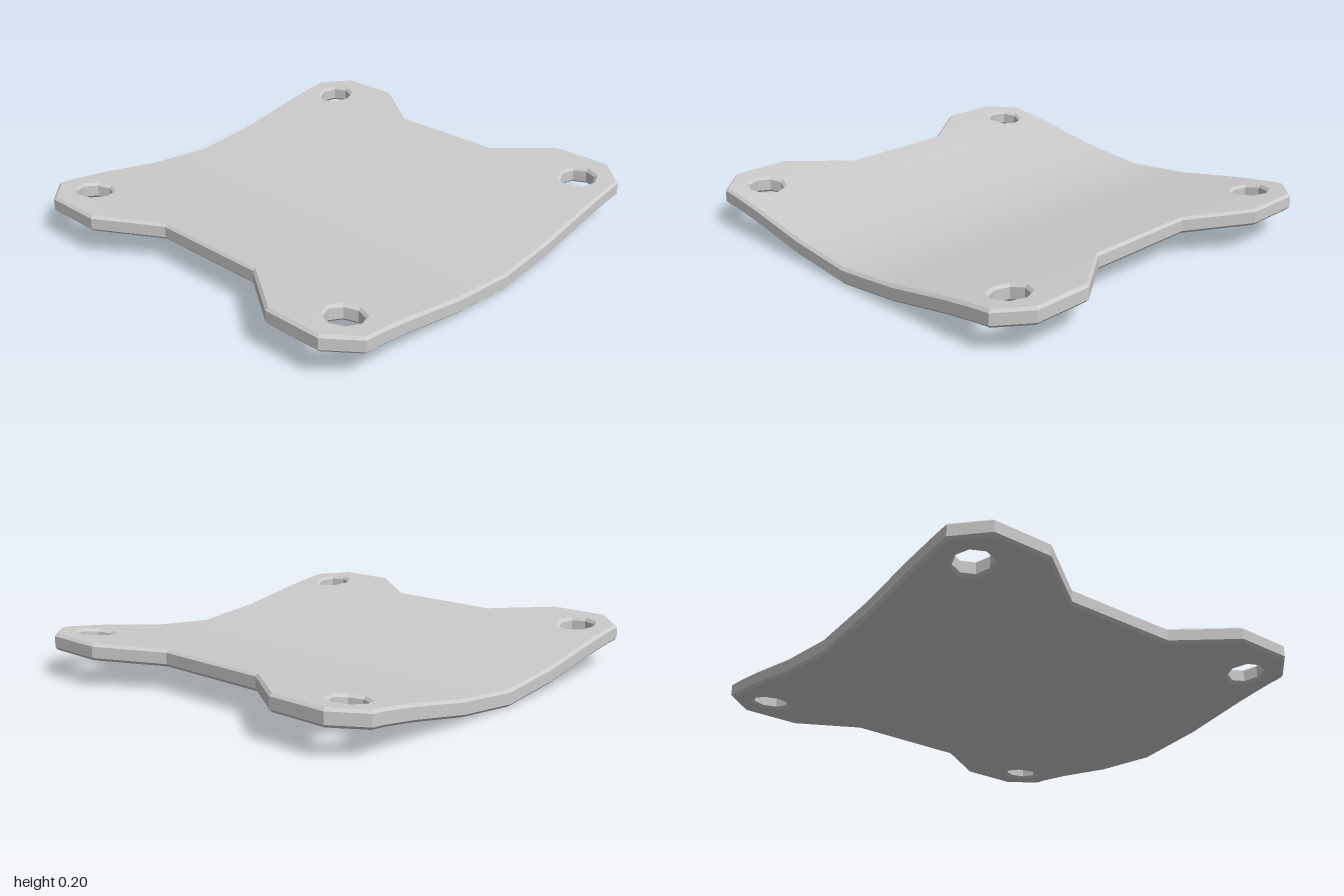
import * as THREE from 'three';
import { toCreasedNormals } from 'three/addons/utils/BufferGeometryUtils.js';

// Height of the bend at each distance from the centre line
const BEND = [[0, 0], [0.32, 0.032], [0.64, 0.089], [0.81, 0.113], [1, 0.13]];
const THICKNESS = 0.075;
const BEVEL = 0.012;

function bendHeight(x) {
  const d = Math.min(Math.abs(x), 1);
  let i = 1;
  while (i < BEND.length - 1 && d > BEND[i][0]) i++;
  const [x0, y0] = BEND[i - 1], [x1, y1] = BEND[i];
  return y0 + (y1 - y0) * (d - x0) / (x1 - x0);
}

// Keep the side of a convex polygon where sign * (x - cut) >= 0
function clip(poly, cut, sign) {
  const out = [];
  poly.forEach((a, i) => {
    const b = poly[(i + 1) % poly.length];
    const da = sign * (a.x - cut), db = sign * (b.x - cut);
    if (da >= 0) out.push(a);
    if (da * db < 0) {
      // interpolate in a fixed direction so shared edges match exactly
      const [p, q] = a.x < b.x ? [a, b] : [b, a];
      out.push(p.clone().lerp(q, (cut - p.x) / (q.x - p.x)));
    }
  });
  return out;
}

// Slice the flat plate along the fold lines, then raise it to the bend
function bendGeometry(flat) {
  const pos = flat.getAttribute('position');
  const folds = BEND.slice(0, -1).flatMap(([x]) => (x ? [-x, x] : [0]));
  const verts = [];
  const edge1 = new THREE.Vector3(), edge2 = new THREE.Vector3();
  for (let i = 0; i < pos.count; i += 3) {
    let polys = [[0, 1, 2].map(k => new THREE.Vector3().fromBufferAttribute(pos, i + k))];
    for (const x of folds) {
      polys = polys.flatMap(p => [clip(p, x, 1), clip(p, x, -1)]).filter(p => p.length > 2);
    }
    for (const p of polys) {
      for (let k = 1; k < p.length - 1; k++) {
        edge1.subVectors(p[k], p[0]);
        edge2.subVectors(p[k + 1], p[0]);
        if (edge1.cross(edge2).length() < 1e-9) continue;
        for (const v of [p[0], p[k], p[k + 1]]) verts.push(v.x, v.y + bendHeight(v.x), v.z);
      }
    }
  }
  const geo = new THREE.BufferGeometry();
  geo.setAttribute('position', new THREE.Float32BufferAttribute(verts, 3));
  geo.computeVertexNormals();
  return toCreasedNormals(geo, 0.4);
}

export function createModel() {
  const group = new THREE.Group();
  group.name = 'bentPlate';

  // Waisted outline with chamfered corners, mirrored from one quarter
  const quarter = [[0.81, 0.275], [1, 0.545], [1, 0.82], [0.88, 0.95]];
  const half = [...quarter.map(([x, y]) => [x, -y]).reverse(), ...quarter];
  const outline = [...half, ...half.map(([x, y]) => [-x, -y])];
  const shape = new THREE.Shape(outline.map(([x, y]) => new THREE.Vector2(x, y)));

  // Eight-sided mounting holes
  for (const sx of [-1, 1]) for (const sy of [-1, 1]) {
    const ring = [];
    for (let i = 0; i < 8; i++) {
      const a = -i * Math.PI / 4;
      ring.push(new THREE.Vector2(sx * 0.81 + 0.081 * Math.cos(a), sy * 0.775 + 0.081 * Math.sin(a)));
    }
    shape.holes.push(new THREE.Path(ring));
  }

  // Plate with bevelled rims, laid flat and then bent
  const flat = new THREE.ExtrudeGeometry(shape, {
    depth: THICKNESS - 2 * BEVEL, bevelEnabled: true, bevelSegments: 1,
    bevelThickness: BEVEL, bevelSize: BEVEL, bevelOffset: -BEVEL,
  });
  flat.translate(0, 0, BEVEL);
  flat.rotateX(-Math.PI / 2);

  const plate = new THREE.Mesh(bendGeometry(flat), new THREE.MeshStandardMaterial({ color: 0xcccccc }));
  plate.name = 'plate';
  group.add(plate);
  return group;
}
